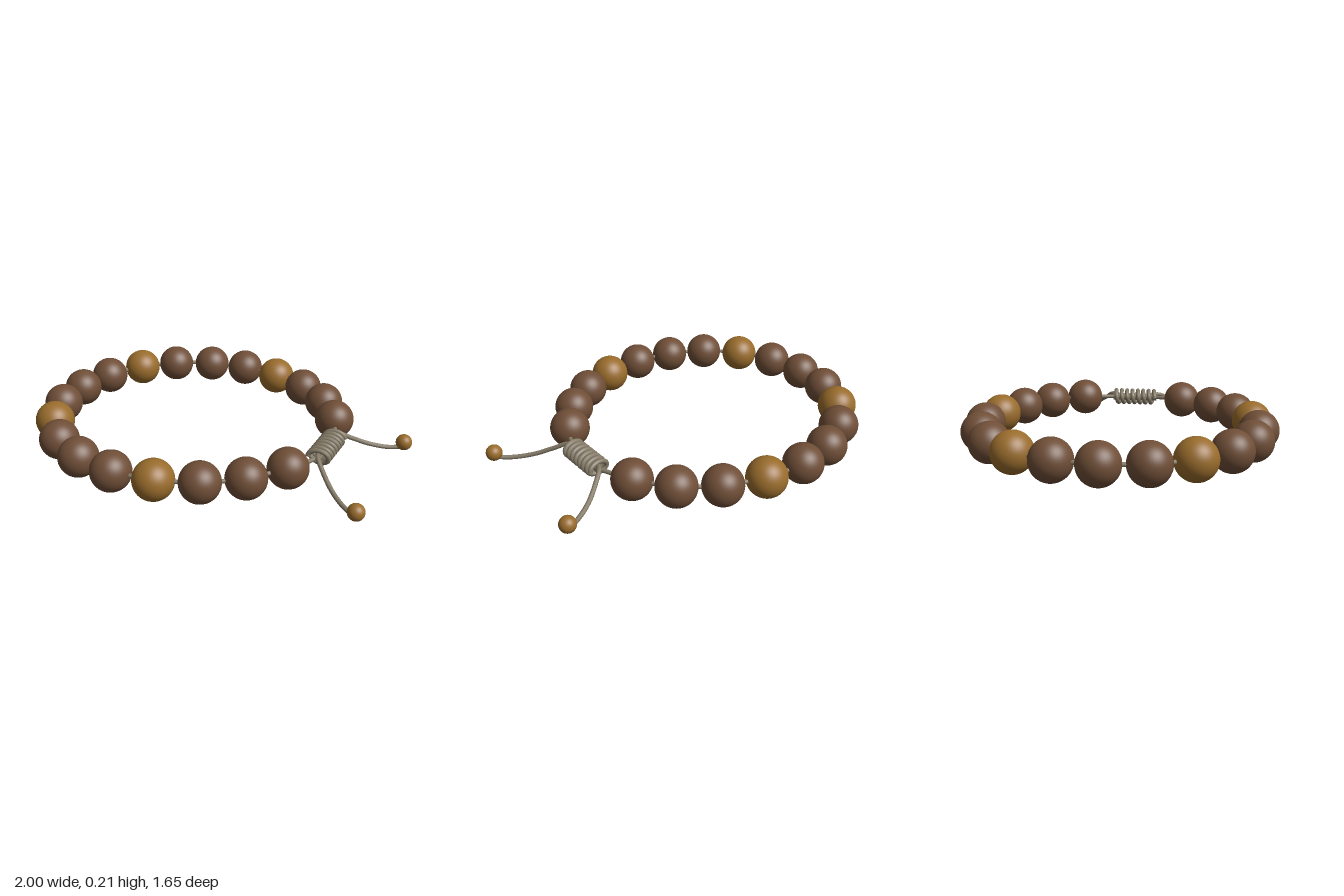
import * as THREE from 'three';

const material = (name, color) => {
  const m = new THREE.MeshStandardMaterial({ color });
  m.name = name;
  return m;
};

export function createModel() {
  const group = new THREE.Group();
  const brown = material('brown wood', 0x6f4e37);
  const gold = material('golden wood', 0x996c2c);
  const cordMat = material('grey cord', 0x857b68);

  const add = (name, geometry, mat) => {
    const mesh = new THREE.Mesh(geometry, mat);
    mesh.name = name;
    group.add(mesh);
    return mesh;
  };
  const cord = (name, points, radius, segments) => add(name, new THREE.TubeGeometry(
    new THREE.CatmullRomCurve3(points.map(p => new THREE.Vector3(...p))), segments, radius, 10), cordMat);

  // Bead centres (x, z) around the loop, from one side of the knot to the other
  const beadY = 0.108;
  const centres = [
    [0.57, -0.31], [0.44, -0.49], [0.26, -0.62], [0.05, -0.70], [-0.175, -0.725],
    [-0.39, -0.685], [-0.593, -0.583], [-0.75, -0.43], [-0.858, -0.227], [-0.896, -0.008],
    [-0.868, 0.215], [-0.772, 0.415], [-0.615, 0.578], [-0.417, 0.68], [-0.195, 0.718],
    [0.03, 0.69], [0.237, 0.607], [0.415, 0.472], [0.553, 0.29],
  ];
  const beadGeometry = new THREE.SphereGeometry(0.105, 40, 28);
  centres.forEach(([x, z], i) => {
    const accent = i % 4 === 3; // every fourth bead is golden
    add(accent ? 'accentBead' : 'bead', beadGeometry, accent ? gold : brown).position.set(x, beadY, z);
  });

  // Cord threaded through the beads, closing through the knot
  cord('beadCord', [
    [0.64, 0.1, -0.13], [0.615, 0.103, -0.2],
    ...centres.map(([x, z]) => [x, beadY, z]),
    [0.605, 0.103, 0.2], [0.635, 0.1, 0.12],
  ], 0.011, 220);
  cord('knotCore', [[0.64, 0.1, -0.14], [0.64, 0.1, 0], [0.637, 0.1, 0.13]], 0.022, 12);

  // Sliding knot: cord coiled around the core
  const turns = 7.5;
  const coil = [];
  for (let i = 0; i <= turns * 16; i++) {
    const a = (i / 16) * Math.PI * 2;
    coil.push([0.641 + Math.cos(a) * 0.053, 0.102 + Math.sin(a) * 0.037,
      -0.132 + 0.254 * i / (turns * 16)]);
  }
  cord('knotCoil', coil, 0.0125, 360);

  // Two drooping tails, each ending in a small golden bead
  const tailBead = new THREE.SphereGeometry(0.043, 28, 20);
  const tails = [
    [[0.635, 0.11, -0.09], [0.65, 0.118, -0.145], [0.71, 0.08, -0.2], [0.79, 0.038, -0.258],
      [0.88, 0.016, -0.308], [0.955, 0.02, -0.345]],
    [[0.635, 0.11, 0.075], [0.648, 0.118, 0.14], [0.705, 0.08, 0.207], [0.78, 0.038, 0.28],
      [0.87, 0.016, 0.355], [0.945, 0.02, 0.41]],
  ];
  tails.forEach(points => {
    cord('tailCord', points, 0.012, 40);
    const [x, , z] = points[points.length - 1];
    add('tailBead', tailBead, gold).position.set(x, 0.046, z);
  });

  return group;
}
